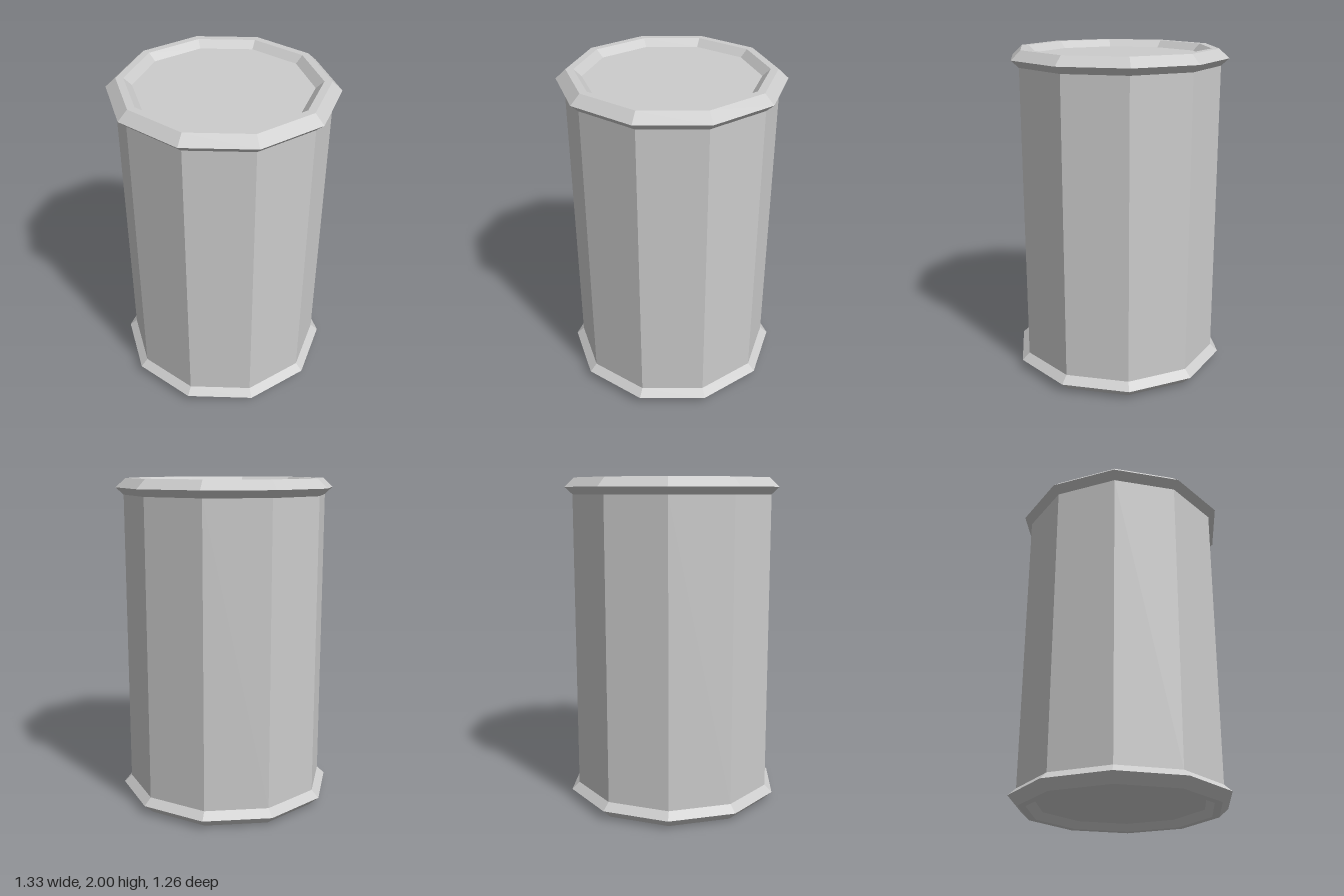
import * as THREE from 'three';

const SIDES = 10;

// Revolves [radius, y] points into a ten-sided faceted surface with corners on the x axis.
function facetedLathe(name, points, material) {
  const profile = points.map(([r, y]) => new THREE.Vector2(r, y));
  const geometry = new THREE.LatheGeometry(profile, SIDES, Math.PI / 2).toNonIndexed();
  geometry.computeVertexNormals();
  const mesh = new THREE.Mesh(geometry, material);
  mesh.name = name;
  return mesh;
}

export function createModel() {
  const group = new THREE.Group();
  group.name = 'can';
  const material = new THREE.MeshStandardMaterial({ color: 0xcccccc, flatShading: true });

  // Straight wall between the two rims
  group.add(facetedLathe('wall', [[0.618, 0.098], [0.618, 1.904]], material));

  // Bevelled rim with a recessed end panel, from the wall inwards
  const end = [[0.618, 0.098], [0.665, 0.055], [0.605, 0], [0.56, 0], [0.515, 0.042], [0, 0.042]];
  group.add(facetedLathe('bottomEnd', [...end].reverse(), material));
  group.add(facetedLathe('topEnd', end.map(([r, y]) => [r, 2 - y]), material));

  return group;
}
